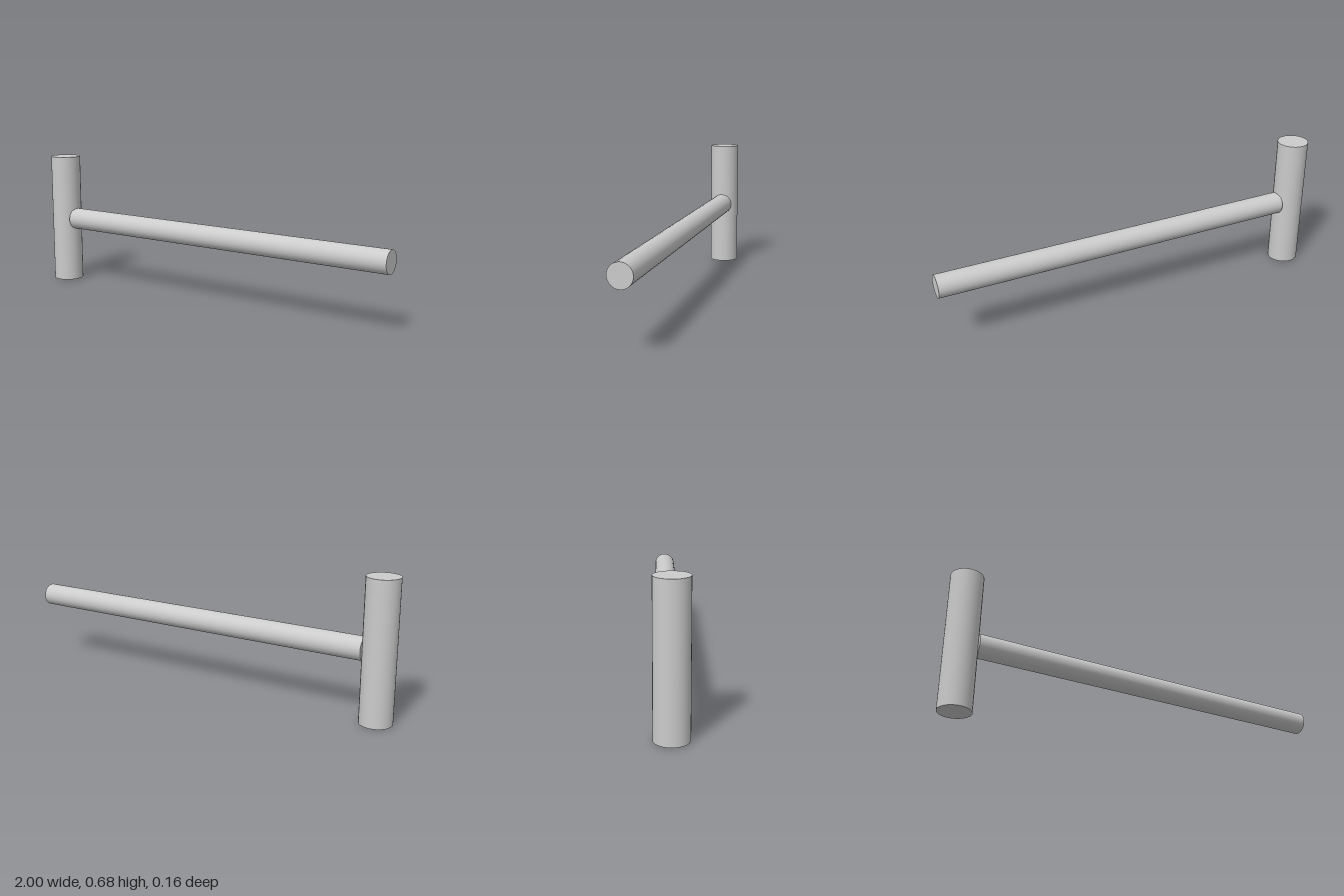
import * as THREE from 'three';

const HEAD_RADIUS = 0.078, HEAD_HEIGHT = 0.68;
const HANDLE_RADIUS = 0.056, HANDLE_START = -0.852, HANDLE_END = 1;

export function createModel() {
  const model = new THREE.Group();
  model.name = 'mallet';
  const material = new THREE.MeshStandardMaterial({ color: 0xcccccc });

  const addRod = (name, radius, length) => {
    const rod = new THREE.Mesh(new THREE.CylinderGeometry(radius, radius, length, 32), material);
    rod.name = name;
    rod.position.y = HEAD_HEIGHT / 2;
    model.add(rod);
    return rod;
  };

  // Upright head
  const head = addRod('head', HEAD_RADIUS, HEAD_HEIGHT);
  head.position.x = -1 + HEAD_RADIUS;

  // Horizontal handle, its flat end just sunk into the side of the head
  const handle = addRod('handle', HANDLE_RADIUS, HANDLE_END - HANDLE_START);
  handle.rotation.z = -Math.PI / 2;
  handle.position.x = (HANDLE_START + HANDLE_END) / 2;

  return model;
}
